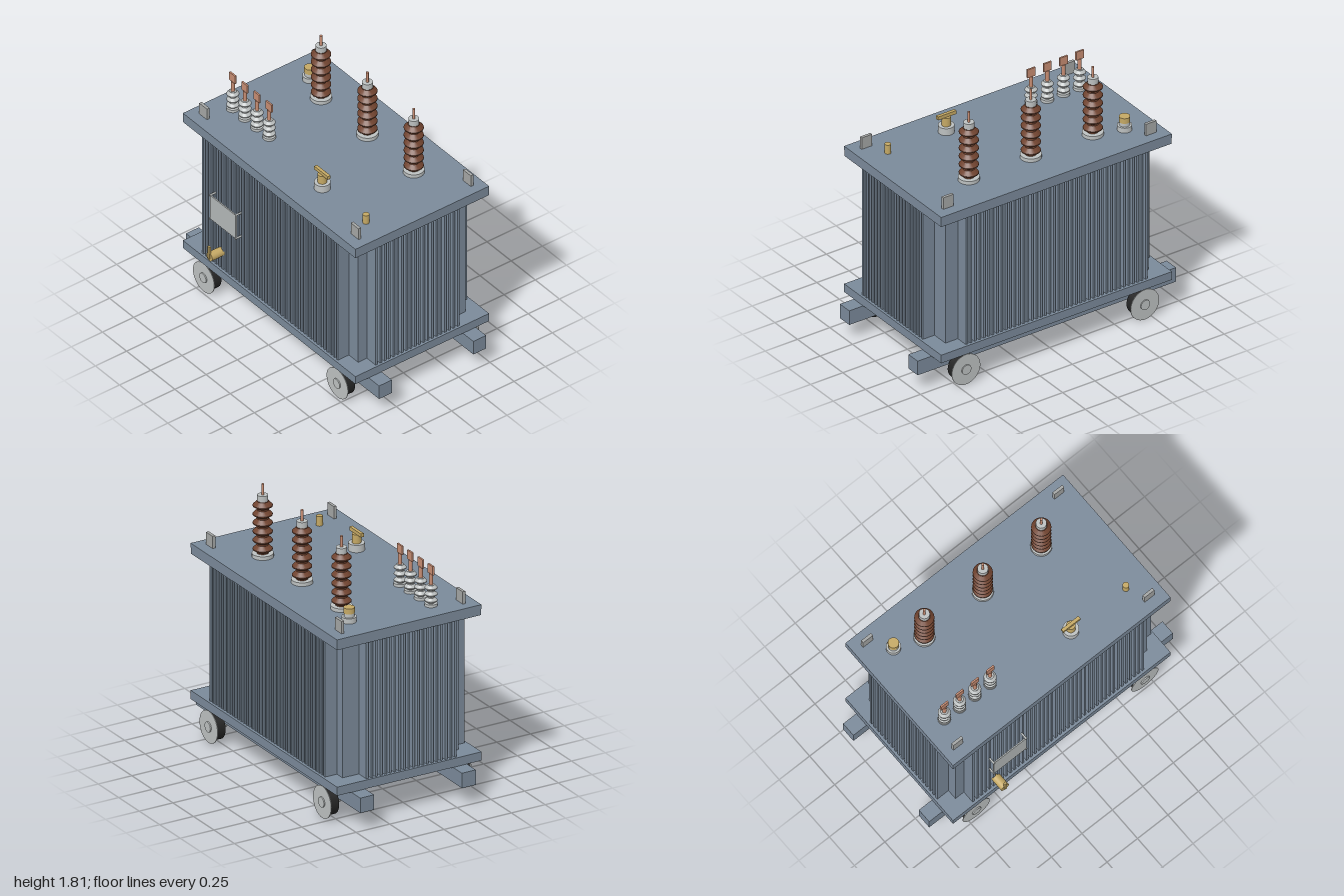
import * as THREE from 'three';
import { toCreasedNormals } from 'three/addons/utils/BufferGeometryUtils.js';

const mat = (name, color) => new THREE.MeshStandardMaterial({ name, color });

export function createModel() {
  const model = new THREE.Group();
  model.name = 'powerTransformer';
  const M = {
    steel: mat('blue grey paint', 0x7a8999),
    porcelain: mat('brown porcelain', 0x70432f),
    pale: mat('pale grey porcelain', 0xbcc0c0),
    copper: mat('copper', 0xc68c72),
    brass: mat('brass', 0xc4a864),
    zinc: mat('zinc', 0xa3a5a4),
    plate: mat('name plate', 0xb2b6b6),
    rubber: mat('black rubber', 0x242424),
  };

  const add = (parent, name, geo, material, x = 0, y = 0, z = 0) => {
    const mesh = new THREE.Mesh(geo, material);
    mesh.name = name;
    mesh.position.set(x, y, z);
    parent.add(mesh);
    return mesh;
  };
  // box given by its limits on each axis
  const box = (parent, name, material, x0, x1, y0, y1, z0, z1) =>
    add(parent, name, new THREE.BoxGeometry(x1 - x0, y1 - y0, z1 - z0), material,
      (x0 + x1) / 2, (y0 + y1) / 2, (z0 + z1) / 2);
  // upright cylinder from y0 to y1
  const post = (parent, name, material, x, z, r, y0, y1) =>
    add(parent, name, new THREE.CylinderGeometry(r, r, y1 - y0, 24), material, x, (y0 + y1) / 2, z);
  // cylinder lying along z
  const rod = (parent, name, material, x, y, r, z0, z1, sides = 24) => {
    const geo = new THREE.CylinderGeometry(r, r, z1 - z0, sides).rotateX(Math.PI / 2);
    return add(parent, name, geo, material, x, y, (z0 + z1) / 2);
  };
  const group = (name, x = 0, y = 0, z = 0) => {
    const g = new THREE.Group();
    g.name = name;
    g.position.set(x, y, z);
    model.add(g);
    return g;
  };
  // stacked insulator skirts
  const sheds = (count, y0, y1, core, rim) => {
    const pts = [new THREE.Vector2(0, y0), new THREE.Vector2(core, y0)];
    const step = (y1 - y0) / count;
    for (let i = 0; i < count; i++) {
      const y = y0 + i * step;
      pts.push(new THREE.Vector2(core, y + step * 0.12), new THREE.Vector2(rim, y + step * 0.4),
        new THREE.Vector2(rim, y + step * 0.52), new THREE.Vector2(core, y + step * 0.95));
    }
    pts.push(new THREE.Vector2(core, y1), new THREE.Vector2(0, y1));
    return toCreasedNormals(new THREE.LatheGeometry(pts, 28), 0.5);
  };

  // tank, base plate, flange and lid
  const CZ = -0.04;
  const tank = group('tank');
  box(tank, 'tankBody', M.steel, -0.786, 0.786, 0.28, 1.25, -0.47, 0.39);
  box(tank, 'basePlate', M.steel, -0.893, 0.893, 0.23, 0.29, -0.576, 0.495);
  box(tank, 'lidFlange', M.steel, -0.892, 0.892, 1.237, 1.279, -0.575, 0.494);
  box(tank, 'lid', M.steel, -0.893, 0.893, 1.279, 1.309, -0.576, 0.495);

  // cooling fins on all four walls
  const fins = group('coolingFins');
  const spread = (count, from, to, thick, place) => {
    for (let i = 0; i < count; i++) {
      const a = from + (to - from - thick) * i / (count - 1);
      place(a, a + thick);
    }
  };
  spread(42, -0.717, 0.69, 0.016, (a, b) => {
    box(fins, 'frontFin', M.steel, a, b, 0.29, 1.237, 0.385, 0.478);
    box(fins, 'backFin', M.steel, a, b, 0.29, 1.237, -0.558, -0.465);
  });
  spread(20, -0.35, 0.32, 0.016, (a, b) => {
    for (const s of [-1, 1]) {
      const fin = box(fins, 'sideFin', M.steel, 0.78, 0.877, 0.29, 1.237, a, b);
      fin.position.x *= s;
    }
  });

  // skid rails
  box(tank, 'frontRail', M.steel, -1, 1, 0.126, 0.23, 0.285, 0.388);
  box(tank, 'backRail', M.steel, -1, 1, 0.126, 0.23, -0.469, -0.367);

  // wheels, outer face turned away from the tank
  for (const x of [-0.692, 0.692]) {
    for (const s of [1, -1]) {
      const wheel = group('wheel', x, 0.11, CZ);
      if (s < 0) wheel.rotation.y = Math.PI;
      rod(wheel, 'tyre', M.rubber, 0, 0.002, 0.094, 0.455, 0.52, 32);
      rod(wheel, 'wheelDisc', M.pale, 0, 0, 0.11, 0.52, 0.525, 40);
      rod(wheel, 'hub', M.pale, 0, 0, 0.035, 0.451, 0.533);
      rod(wheel, 'axle', M.zinc, 0, 0, 0.025, 0.4, 0.455);
    }
  }

  // high voltage bushings
  const tallSheds = sheds(6, 1.334, 1.695, 0.038, 0.064);
  for (const x of [-0.48, 0, 0.48]) {
    const b = group('highVoltageBushing', x, 0, -0.292);
    post(b, 'bushingFlange', M.pale, 0, 0, 0.07, 1.305, 1.334);
    add(b, 'insulator', tallSheds, M.porcelain);
    post(b, 'bushingCap', M.pale, 0, 0, 0.035, 1.693, 1.735);
    post(b, 'terminalStud', M.copper, 0, 0, 0.009, 1.735, 1.81);
  }

  // low voltage bushings with flat terminals
  const shortSheds = sheds(3, 1.325, 1.455, 0.024, 0.041);
  for (let i = 0; i < 4; i++) {
    const b = group('lowVoltageBushing', -0.735 + i * 0.1253, 0, 0.217);
    post(b, 'bushingFlange', M.pale, 0, 0, 0.042, 1.305, 1.328);
    add(b, 'insulator', shortSheds, M.pale);
    post(b, 'terminalRod', M.copper, 0, 0, 0.013, 1.455, 1.53);
    box(b, 'terminalPaddle', M.copper, -0.03, 0.03, 1.527, 1.588, -0.006, 0.006);
  }

  // lifting lugs
  for (const x of [-0.785, 0.785]) {
    for (const z of [0.407, -0.492])
      box(model, 'liftingLug', M.zinc, x - 0.04, x + 0.04, 1.305, 1.394, z - 0.01, z + 0.01);
  }

  // relief valve at the back
  const relief = group('reliefValve', -0.68, 0, -0.357);
  post(relief, 'reliefBase', M.pale, 0, 0, 0.048, 1.305, 1.345);
  post(relief, 'reliefNeck', M.pale, 0, 0, 0.034, 1.345, 1.37);
  post(relief, 'reliefCap', M.brass, 0, 0, 0.036, 1.37, 1.408);

  // filler valve with cross handle
  const filler = group('fillerValve', 0.26, 0, 0.27);
  post(filler, 'fillerBase', M.pale, 0, 0, 0.053, 1.305, 1.36);
  post(filler, 'fillerNeck', M.brass, 0, 0, 0.03, 1.36, 1.422);
  box(filler, 'fillerHandle', M.brass, -0.07, 0.07, 1.42, 1.445, -0.011, 0.011);

  // thermometer pocket
  post(model, 'thermometerPocket', M.brass, 0.712, 0.27, 0.021, 1.305, 1.375);

  // name plate on four stand-off rods
  const sign = group('namePlate');
  box(sign, 'plate', M.plate, -0.58, -0.312, 0.67, 0.857, 0.513, 0.522);
  for (const x of [-0.578, -0.314]) {
    for (const y of [0.67, 0.857])
      rod(sign, 'standOff', M.plate, x, y, 0.007, 0.475, 0.526, 10);
  }

  // drain valve
  const drain = group('drainValve', -0.525, 0.417, 0);
  rod(drain, 'drainBody', M.brass, 0, 0, 0.031, 0.47, 0.568);
  box(drain, 'drainLever', M.brass, -0.009, 0.009, -0.01, 0.083, 0.563, 0.577);

  return model;
}
